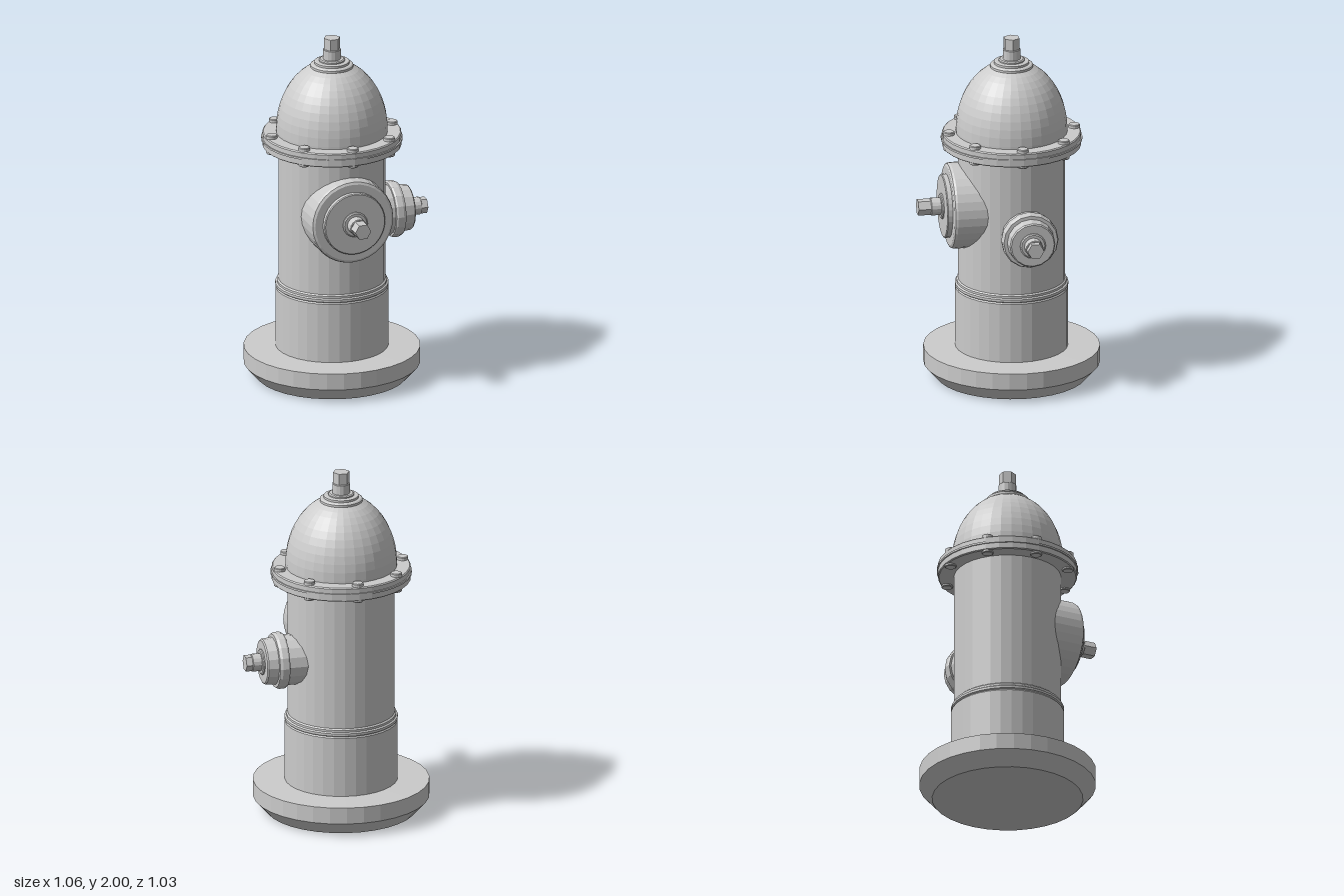
import * as THREE from 'three';

const CX = -0.037, CZ = -0.02; // axis of the barrel
const material = new THREE.MeshStandardMaterial({ color: 0xcccccc, flatShading: true });

function add(parent, name, geometry) {
  const mesh = new THREE.Mesh(geometry, material);
  mesh.name = name;
  parent.add(mesh);
  return mesh;
}

// Turned part from [radius, height] pairs, listed bottom to top
function turned(parent, name, profile, sides = 32) {
  return add(parent, name, new THREE.LatheGeometry(profile.map(([r, y]) => new THREE.Vector2(r, y)), sides));
}

// Washer, round stem and six-sided operating nut, growing along +y
function addNut(parent, y0, yStem, yTop, hexTurn) {
  turned(parent, 'washer', [[0.073, y0 - 0.02], [0.073, y0 + 0.007], [0.066, y0 + 0.012], [0, y0 + 0.012]], 16);
  turned(parent, 'stem', [[0.05, y0], [0.05, yStem - 0.003], [0.046, yStem], [0, yStem]], 16);
  const h = yTop - yStem + 0.01;
  const hex = new THREE.CylinderGeometry(0.047, 0.047, h, 6);
  hex.rotateY(hexTurn);
  hex.translate(0, yTop - h / 2, 0);
  add(parent, 'hexNut', hex);
}

export function createModel() {
  const model = new THREE.Group();
  model.name = 'hydrant';

  const column = new THREE.Group();
  column.name = 'column';
  column.position.set(CX, 0, CZ);
  model.add(column);

  // Foot and barrel
  turned(column, 'base', [[0, 0], [0.423, 0], [0.495, 0.08], [0.495, 0.175], [0.3, 0.18]]);
  turned(column, 'lowerBarrel', [[0.317, 0.17], [0.317, 0.525], [0.311, 0.532], [0.318, 0.538],
    [0.318, 0.552], [0.309, 0.558], [0.309, 0.57], [0.3, 0.577]]);
  turned(column, 'barrel', [[0.3, 0.56], [0.3, 1.38]]);

  // Bolted flanges with a gasket between
  turned(column, 'lowerFlange', [[0.29, 1.365], [0.384, 1.365], [0.39, 1.37], [0.39, 1.402], [0.29, 1.402]]);
  turned(column, 'gasket', [[0.29, 1.402], [0.397, 1.402], [0.397, 1.413], [0.29, 1.413]]);
  turned(column, 'upperFlange', [[0.29, 1.413], [0.39, 1.413], [0.39, 1.44], [0.384, 1.446], [0.29, 1.446]]);
  const bolts = new THREE.Group();
  bolts.name = 'flangeBolts';
  column.add(bolts);
  for (let i = 0; i < 8; i++) {
    const a = i * Math.PI / 4;
    const bolt = turned(bolts, 'bolt', [[0, 1.353], [0.028, 1.353], [0.032, 1.357], [0.032, 1.461], [0.028, 1.465], [0, 1.465]], 16);
    bolt.position.set(0.356 * Math.sin(a), 0, 0.356 * Math.cos(a));
  }

  // Dome with its collar and top nut
  const dome = [[0.313, 1.44]];
  for (let i = 0; i <= 10; i++) {
    const a = i / 10 * 1.19;
    dome.push([0.313 * Math.cos(a), 1.46 + 0.4 * Math.sin(a)]);
  }
  turned(column, 'dome', dome);
  turned(column, 'domeCollar', [[0.112, 1.81], [0.12, 1.83], [0.12, 1.842], [0.112, 1.848], [0.098, 1.85],
    [0.098, 1.862], [0.092, 1.865], [0, 1.865]]);
  addNut(column, 1.865, 1.935, 2, Math.PI / 6);

  // Large front outlet, built along +y then turned to face +z
  const front = new THREE.Group();
  front.name = 'frontOutlet';
  front.position.set(CX, 1.023, 0);
  front.rotation.x = Math.PI / 2;
  model.add(front);
  turned(front, 'outletBody', [[0.243, 0.1], [0.243, 0.325], [0.238, 0.338], [0.225, 0.345], [0, 0.345]]);
  turned(front, 'outletCap', [[0.18, 0.34], [0.18, 0.37], [0.175, 0.375], [0, 0.375]]);
  addNut(front, 0.375, 0.443, 0.515, Math.PI / 6);

  // Small side outlet, turned to face +x
  const side = new THREE.Group();
  side.name = 'sideOutlet';
  side.position.set(0, 0.925, -0.058);
  side.rotation.z = -Math.PI / 2;
  model.add(side);
  turned(side, 'outletNeck', [[0.143, 0.15], [0.143, 0.312]], 16);
  turned(side, 'outletCap', [[0.13, 0.306], [0.154, 0.308], [0.16, 0.318], [0.16, 0.35], [0.153, 0.366],
    [0.134, 0.367], [0.129, 0.425], [0.122, 0.432], [0, 0.432]], 16);
  addNut(side, 0.432, 0.496, 0.532, 0);

  return model;
}
